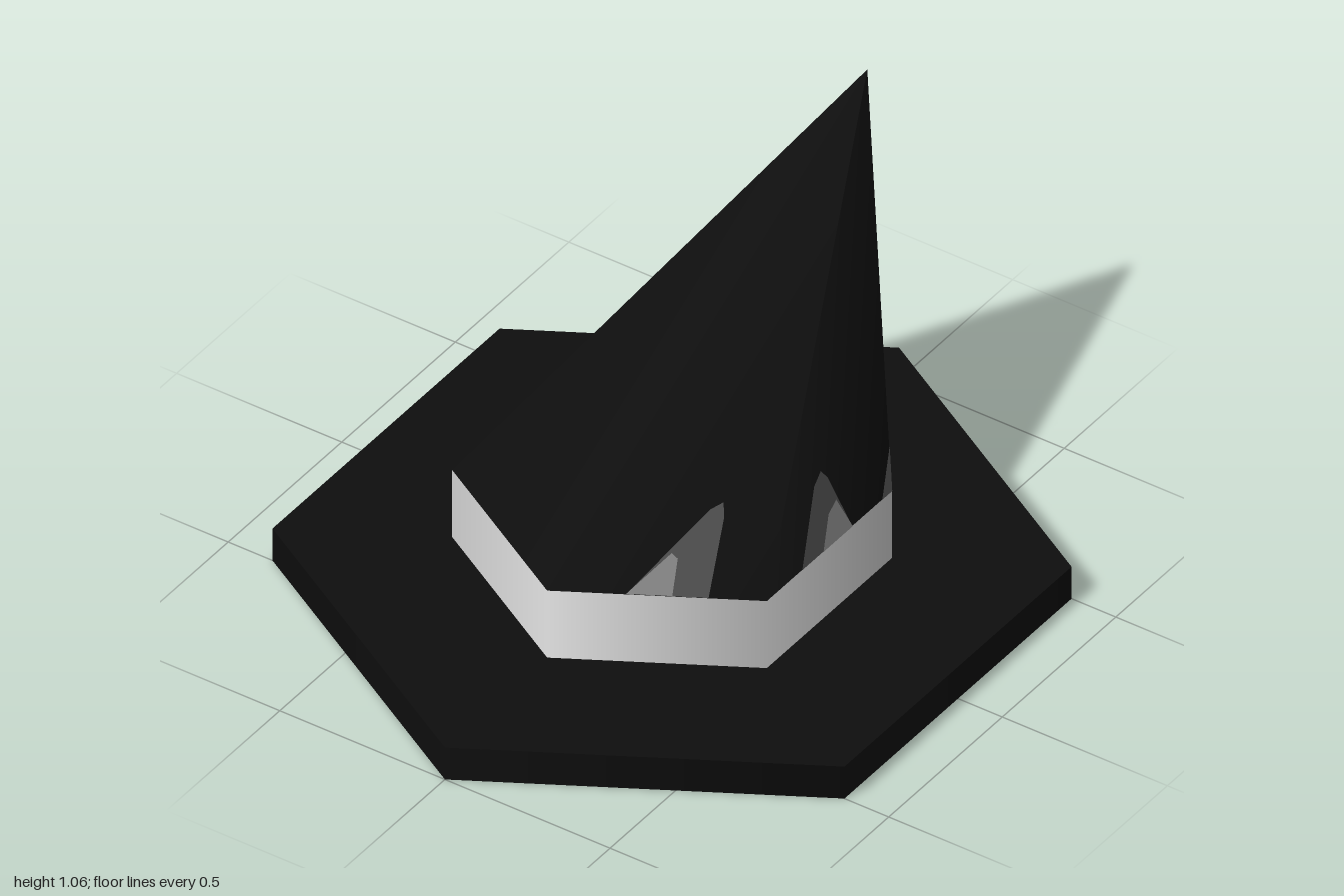
import * as THREE from 'three';

const BASE_Y = 0.31, R = 0.55;
const APEX = new THREE.Vector3(0, 1.06, -0.86);

const material = (name, color) => {
  const m = new THREE.MeshStandardMaterial({ color });
  m.name = name;
  return m;
};

// Base corner k of the six-sided crown, counted from the front towards +x
const corner = (k) => {
  const a = (k * Math.PI) / 3;
  return new THREE.Vector3(Math.sin(a) * R, BASE_Y, Math.cos(a) * R);
};

// Convex patch on crown side k; each point is [along base edge, towards tip]
function patchGeometry(k, points, offset) {
  const A = corner(k), B = corner(k + 1);
  const normal = B.clone().sub(A).cross(APEX.clone().sub(A)).normalize();
  const pts = points.map(([s, t]) =>
    A.clone().lerp(B, s).lerp(APEX, t).addScaledVector(normal, offset));
  const geo = new THREE.BufferGeometry().setFromPoints(pts);
  const index = [];
  for (let i = 1; i < pts.length - 1; i++) index.push(0, i, i + 1);
  geo.setIndex(index);
  geo.computeVertexNormals();
  return geo;
}

export function createModel() {
  const group = new THREE.Group();
  group.name = 'pointedHat';
  const black = material('black felt', 0x0e0e0e);
  const white = material('white band', 0xeeeeee);
  const darkGrey = material('dark grey', 0x484848);
  const lightGrey = material('light grey', 0x7c7c7c);

  const add = (name, geo, mat, y = 0) => {
    const mesh = new THREE.Mesh(geo, mat);
    mesh.name = name;
    mesh.position.y = y;
    group.add(mesh);
  };

  // Flat six-sided brim and the band standing on it
  add('brim', new THREE.CylinderGeometry(1, 1, 0.1, 6), black, 0.05);
  add('band', new THREE.CylinderGeometry(R, R, BASE_Y - 0.1, 6), white, (BASE_Y + 0.1) / 2);

  // Cone sheared backwards so that its tip hangs over the rear
  const height = APEX.y - BASE_Y;
  const crown = new THREE.ConeGeometry(R, height, 6).translate(0, height / 2, 0);
  const p = crown.attributes.position;
  for (let i = 0; i < p.count; i++) p.setZ(i, p.getZ(i) + (APEX.z * p.getY(i)) / height);
  crown.computeVertexNormals();
  add('crown', crown, black, BASE_Y);

  // Grey tongues rising from the band: [side, dark outline, light core]
  const tongues = [
    [0, [[0.36, 0], [0.735, 0], [0.69, 0.15], [0.66, 0.18], [0.6, 0.165]],
      [[0.36, 0], [0.57, 0], [0.53, 0.07], [0.49, 0.08]]],
    [1, [[0.28, 0], [0.68, 0], [0.42, 0.16], [0.34, 0.187], [0.29, 0.165]],
      [[0.445, 0], [0.68, 0], [0.52, 0.093], [0.46, 0.075]]],
    [1, [[0.92, 0], [1, 0], [1, 0.107]], null],
    [2, [[0, 0], [1, 0], [1, 0.12], [0, 0.107]],
      [[0, 0], [0.35, 0], [0.2, 0.045], [0, 0.05]]],
    [3, [[0.36, 0], [0.63, 0], [0.63, 0.14], [0.59, 0.17], [0.52, 0.15]],
      [[0.4, 0], [0.6, 0], [0.56, 0.07], [0.51, 0.08]]],
    [4, [[0.32, 0], [0.68, 0], [0.46, 0.155], [0.43, 0.16], [0.38, 0.14]],
      [[0.42, 0], [0.68, 0], [0.55, 0.08], [0.48, 0.08]]],
  ];
  for (const [k, outer, inner] of tongues) {
    add('crownPatch', patchGeometry(k, outer, 0.002), darkGrey);
    if (inner) add('crownPatchCore', patchGeometry(k, inner, 0.004), lightGrey);
  }
  return group;
}
